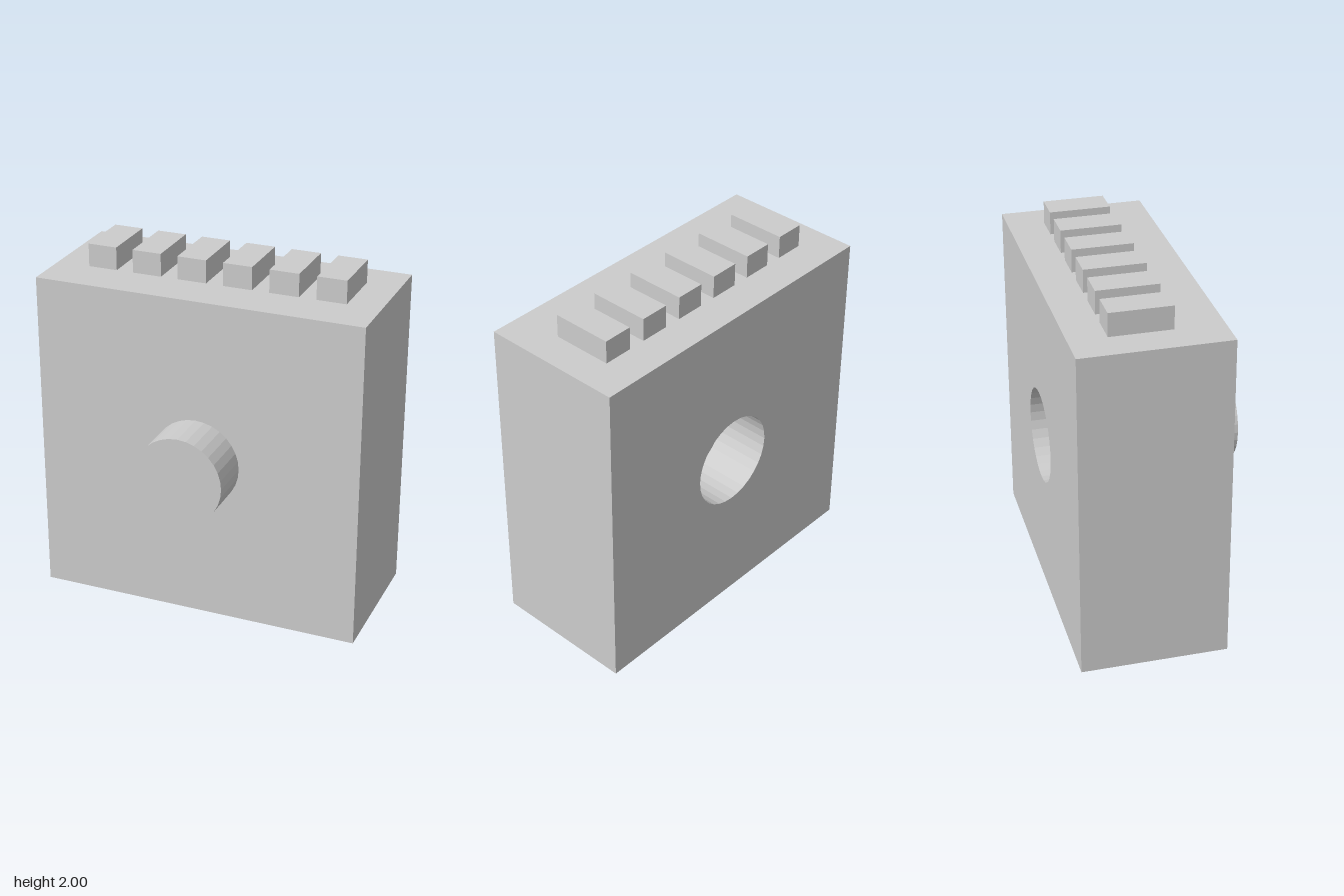
import * as THREE from 'three';

const WIDTH = 1.86, HEIGHT = 1.87, BACK = -0.53, FRONT = 0.28;
const SOCKET_DEPTH = 0.31, SOCKET_RADIUS = 0.265, PEG_RADIUS = 0.25, PEG_LENGTH = 0.25;
const SIDES = 32, MID_Y = HEIGHT / 2;

export function createModel() {
  const model = new THREE.Group();
  model.name = 'connectorBlock';
  const material = new THREE.MeshStandardMaterial({ color: 0xcccccc, flatShading: true });

  const add = (name, geometry, x, y, z, parent = model) => {
    const mesh = new THREE.Mesh(geometry, material);
    mesh.name = name;
    mesh.position.set(x, y, z);
    parent.add(mesh);
    return mesh;
  };

  // Body: a solid front slab and a back slab pierced by the round socket
  const body = new THREE.Group();
  body.name = 'body';
  model.add(body);
  const floorZ = BACK + SOCKET_DEPTH;
  add('frontSlab', new THREE.BoxGeometry(WIDTH, HEIGHT, FRONT - floorZ), 0, MID_Y, (FRONT + floorZ) / 2, body);

  const w = WIDTH / 2, h = HEIGHT / 2;
  const outline = new THREE.Shape([[-w, -h], [w, -h], [w, h], [-w, h]].map(([x, y]) => new THREE.Vector2(x, y)));
  const socket = new THREE.Path().absarc(0, 0, SOCKET_RADIUS, 0, Math.PI * 2, true);
  outline.holes.push(socket);
  const backSlab = new THREE.ExtrudeGeometry(outline, {
    depth: SOCKET_DEPTH, bevelEnabled: false, curveSegments: SIDES / 2,
  });
  add('backSlabWithSocket', backSlab, 0, MID_Y, BACK, body);

  // Round peg on the front, matching the socket
  const peg = new THREE.CylinderGeometry(PEG_RADIUS, PEG_RADIUS, PEG_LENGTH, SIDES).rotateX(Math.PI / 2);
  add('peg', peg, 0, MID_Y, FRONT + PEG_LENGTH / 2);

  // Row of six teeth along the top
  const teeth = new THREE.Group();
  teeth.name = 'teeth';
  model.add(teeth);
  const toothHeight = 2 - HEIGHT;
  const tooth = new THREE.BoxGeometry(0.166, toothHeight, 0.34);
  for (let i = 0; i < 6; i++) {
    add(`tooth${i + 1}`, tooth, (i - 2.5) * 0.263, HEIGHT + toothHeight / 2, -0.155, teeth);
  }

  return model;
}
